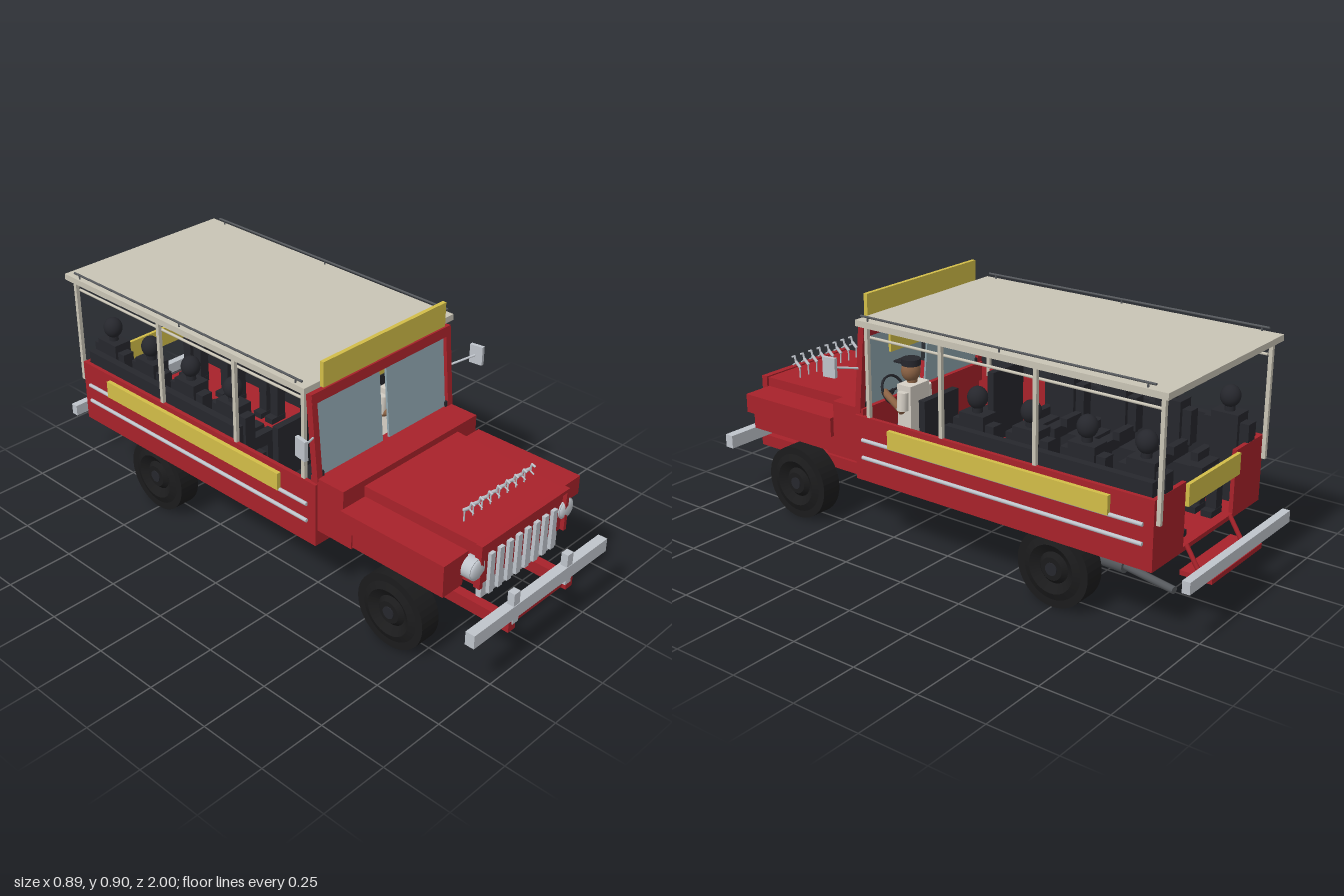
import * as THREE from 'three';

const mat = (color) => new THREE.MeshStandardMaterial({ color, side: THREE.DoubleSide });
const M = {
  red: mat(0xa8222a), cream: mat(0xc9c4b5), yellow: mat(0xd2bd48), silver: mat(0xbfc4cb), glass: mat(0x8fa6af),
  dark: mat(0x26272d), tyre: mat(0x1b1b1c), skin: mat(0x8b6244), shirt: mat(0xd6d0c6), jeans: mat(0x35506e), steel: mat(0x55585c),
};

export function createModel() {
  const root = new THREE.Group();

  const add = (name, geo, m, parent = root) => {
    const mesh = new THREE.Mesh(geo, M[m]);
    mesh.name = name;
    parent.add(mesh);
    return mesh;
  };
  // Box given by its min and max on each axis
  const box = (name, m, x0, x1, y0, y1, z0, z1, parent = root) => {
    const b = add(name, new THREE.BoxGeometry(x1 - x0, y1 - y0, z1 - z0), m, parent);
    b.position.set((x0 + x1) / 2, (y0 + y1) / 2, (z0 + z1) / 2);
    return b;
  };
  // Round bar between two points
  const bar = (name, m, a, b, r, parent = root, sides = 10) => {
    const p = new THREE.Vector3(...a), d = new THREE.Vector3(...b).sub(p);
    const c = add(name, new THREE.CylinderGeometry(r, r, d.length(), sides), m, parent);
    c.position.copy(p).addScaledVector(d, 0.5);
    c.quaternion.setFromUnitVectors(new THREE.Vector3(0, 1, 0), d.normalize());
    return c;
  };
  const ball = (name, m, x, y, z, r, parent = root) => {
    const s = add(name, new THREE.SphereGeometry(r, 18, 12), m, parent);
    s.position.set(x, y, z);
    return s;
  };
  // Box mirrored to both sides
  const pair = (name, m, x0, x1, y0, y1, z0, z1) => {
    box(name + 'Left', m, x0, x1, y0, y1, z0, z1);
    box(name + 'Right', m, -x1, -x0, y0, y1, z0, z1);
  };

  // Chassis
  pair('chassisRail', 'red', 0.135, 0.17, 0.155, 0.2, -0.78, 0.995);
  for (const z of [0.96, 0.1, -0.76]) box('crossMember', 'red', -0.14, 0.14, 0.16, 0.18, z - 0.02, z + 0.02);
  box('frontBumper', 'silver', -0.35, 0.35, 0.2, 0.25, 0.965, 1);
  pair('bumperUpright', 'silver', 0.125, 0.155, 0.18, 0.297, 0.972, 0.998);
  box('rearBumper', 'silver', -0.33, 0.33, 0.2, 0.242, -1, -0.972);
  box('rearStep', 'red', -0.165, 0.165, 0.163, 0.18, -0.985, -0.87);
  for (const s of [-1, 1]) bar('stepStrut', 'red', [s * 0.14, 0.26, -0.875], [s * 0.14, 0.172, -0.93], 0.008);
  for (const s of [-1, 1]) bar('bumperBracket', 'red', [s * 0.14, 0.19, -0.98], [s * 0.14, 0.172, -0.93], 0.008);

  // Wheels and axles
  const profile = [[0, -0.045], [0.04, -0.045], [0.055, -0.03], [0.085, -0.05], [0.11, -0.04], [0.137, -0.04],
    [0.137, 0.04], [0.11, 0.04], [0.085, 0.05], [0.055, 0.03], [0.04, 0.045], [0, 0.045]];
  for (const z of [0.647, -0.5]) {
    bar('axle', 'dark', [-0.28, 0.14, z], [0.28, 0.14, z], 0.012);
    for (const s of [-1, 1]) {
      const w = add('wheel', new THREE.LatheGeometry(profile.map((p) => new THREE.Vector2(...p)), 40).toNonIndexed(), 'tyre');
      w.geometry.computeVertexNormals();
      w.rotation.z = -Math.PI / 2;
      w.position.set(s * 0.291, 0.137, z);
      bar('hub', 'dark', [s * 0.3, 0.137, z], [s * 0.34, 0.137, z], 0.022, root, 20);
    }
  }

  // Exhaust
  bar('exhaustPipe', 'steel', [0.11, 0.15, -0.14], [0.14, 0.145, -0.5], 0.014);
  bar('muffler', 'steel', [0.17, 0.148, -0.45], [0.175, 0.143, -0.68], 0.028, root, 18);
  bar('tailPipe', 'steel', [0.175, 0.142, -0.66], [0.21, 0.13, -0.88], 0.013);

  // Open passenger tub
  box('floor', 'red', -0.345, 0.345, 0.242, 0.258, -0.875, 0.33);
  pair('sideWall', 'red', 0.33, 0.345, 0.242, 0.48, -0.875, 0.33);
  pair('rearWall', 'red', 0.16, 0.345, 0.242, 0.48, -0.875, -0.86);
  box('firewall', 'red', -0.345, 0.345, 0.242, 0.48, 0.315, 0.33);
  box('rearSign', 'yellow', -0.165, 0.165, 0.4, 0.475, -0.89, -0.877);
  pair('sideSign', 'yellow', 0.345, 0.361, 0.395, 0.46, -0.72, 0.17);
  for (const s of [-1, 1]) for (const y of [0.33, 0.395]) bar('sideTrim', 'silver', [s * 0.35, y, 0.295], [s * 0.35, y, -0.84], 0.007);

  // Hood, tapered towards the nose
  const hood = box('hood', 'red', -0.24, 0.24, 0.31, 0.482, 0.33, 0.9);
  const hp = hood.geometry.attributes.position;
  for (let i = 0; i < hp.count; i++) {
    if (hp.getZ(i) > 0) {
      hp.setX(i, hp.getX(i) * 0.9);
      if (hp.getY(i) > 0) hp.setY(i, hp.getY(i) - 0.017);
    }
  }
  hood.geometry.computeVertexNormals();
  box('cowl', 'red', -0.335, 0.335, 0.43, 0.502, 0.3, 0.443);
  // Nose frame, grille and lights
  box('noseTop', 'red', -0.226, 0.226, 0.458, 0.47, 0.89, 0.915);
  pair('noseSide', 'red', 0.212, 0.226, 0.31, 0.46, 0.89, 0.915);
  box('grilleBase', 'silver', -0.197, 0.197, 0.255, 0.31, 0.88, 0.9);
  for (let i = 0; i < 8; i++) box('grilleBar', 'silver', -0.173 + i * 0.046, -0.151 + i * 0.046, 0.265, 0.415, 0.898, 0.913);
  for (const s of [-1, 1]) {
    bar('headlight', 'silver', [s * 0.23, 0.384, 0.865], [s * 0.23, 0.384, 0.905], 0.038, root, 28);
    const lens = ball('headlightLens', 'silver', s * 0.23, 0.384, 0.905, 0.035);
    lens.scale.z = 0.35;
  }
  // Fenders
  pair('fender', 'red', 0.235, 0.35, 0.37, 0.44, 0.445, 0.87);
  pair('fenderSkirt', 'red', 0.235, 0.33, 0.305, 0.372, 0.48, 0.855);
  pair('sill', 'red', 0.22, 0.335, 0.3, 0.43, 0.33, 0.48);
  box('engineBay', 'red', -0.2, 0.2, 0.25, 0.312, 0.33, 0.6);
  box('steeringBox', 'dark', 0.215, 0.247, 0.283, 0.297, 0.6, 0.68);

  // Small rearing horse ornaments
  for (let i = 0; i < 8; i++) {
    const h = new THREE.Group();
    h.name = 'horseOrnament';
    bar('hindLegs', 'silver', [0, 0.466, 0.785], [0, 0.51, 0.785], 0.003, h, 6);
    bar('horseBody', 'silver', [0, 0.508, 0.782], [0, 0.528, 0.805], 0.006, h, 8);
    bar('horseNeck', 'silver', [0, 0.526, 0.804], [0, 0.548, 0.81], 0.004, h, 8);
    bar('horseHead', 'silver', [0, 0.548, 0.808], [0, 0.542, 0.823], 0.004, h, 8);
    bar('frontLegs', 'silver', [0, 0.522, 0.803], [0, 0.512, 0.82], 0.003, h, 6);
    h.position.x = -0.154 + i * 0.044;
    root.add(h);
  }

  // Windshield, leaning slightly back
  const shield = new THREE.Group();
  shield.name = 'windshield';
  for (const s of [-1, 1]) {
    box('pillar', 'red', s * 0.327 - 0.012, s * 0.327 + 0.012, 0, 0.31, -0.012, 0.012, shield);
    box('pane', 'glass', s * 0.162 - 0.146, s * 0.162 + 0.146, 0, 0.28, -0.004, 0.004, shield);
    box('pillarFoot', 'dark', s * 0.31 - 0.006, s * 0.31 + 0.006, 0, 0.03, -0.01, 0.01, shield);
  }
  box('headerBeam', 'red', -0.338, 0.338, 0.275, 0.311, -0.013, 0.013, shield);
  shield.position.set(0, 0.49, 0.322);
  shield.rotation.x = -0.09;
  root.add(shield);
  box('innerSign', 'yellow', -0.25, 0.25, 0.7, 0.765, 0.24, 0.25);
  for (const s of [-1, 1]) {
    bar('mirrorArm', 'silver', [s * 0.33, 0.648, 0.31], [s * 0.425, 0.668, 0.352], 0.004);
    const mirror = box('mirror', 'silver', s * 0.432 - 0.007, s * 0.432 + 0.007, 0.635, 0.705, 0.33, 0.38);
    mirror.rotation.y = s * 0.15;
  }

  // Roof on posts
  box('roof', 'cream', -0.362, 0.362, 0.808, 0.83, -0.915, 0.298);
  box('roofSign', 'yellow', -0.295, 0.295, 0.815, 0.904, 0.302, 0.317);
  for (const s of [-1, 1]) {
    for (const z of [0.27, -0.05, -0.43, -0.888]) box('roofPost', 'cream', s * 0.335 - 0.007, s * 0.335 + 0.007, z < -0.8 ? 0.4 : 0.45, 0.81, z - 0.007, z + 0.007);
    bar('handRail', 'cream', [s * 0.325, 0.765, 0.27], [s * 0.325, 0.765, -0.88], 0.005);
    bar('roofRail', 'steel', [s * 0.352, 0.845, 0.28], [s * 0.352, 0.845, -0.868], 0.004);
    for (const z of [0.25, -0.3, -0.84]) bar('roofRailFoot', 'steel', [s * 0.352, 0.828, z], [s * 0.352, 0.845, z], 0.003);
  }

  // Benches along the sides with passengers facing the aisle
  for (const s of [-1, 1]) {
    const side = new THREE.Group();
    side.name = s > 0 ? 'leftBench' : 'rightBench';
    side.scale.x = s;
    box('benchSeat', 'dark', 0.19, 0.328, 0.33, 0.37, -0.855, -0.06, side);
    box('benchBase', 'dark', 0.24, 0.328, 0.258, 0.33, -0.855, -0.06, side);
    box('benchBack', 'dark', 0.3, 0.328, 0.37, 0.525, -0.855, -0.055, side);
    for (const z of [-0.143, -0.36, -0.575, -0.79]) {
      const p = new THREE.Group();
      p.name = 'passenger';
      box('torso', 'dark', 0.225, 0.295, 0.37, 0.572, -0.05, 0.05, p);
      ball('head', 'dark', 0.26, 0.622, 0, 0.035, p).scale.y = 1.1;
      bar('neck', 'dark', [0.26, 0.565, 0], [0.26, 0.6, 0], 0.018, p);
      for (const k of [-1, 1]) {
        box('upperArm', 'dark', 0.24, 0.285, 0.42, 0.543, k * 0.066 - 0.018, k * 0.066 + 0.018, p);
        box('forearm', 'dark', 0.15, 0.27, 0.41, 0.44, k * 0.062 - 0.014, k * 0.062 + 0.014, p);
        box('thigh', 'dark', 0.11, 0.27, 0.368, 0.41, k * 0.03 - 0.021, k * 0.03 + 0.021, p);
        box('shin', 'dark', 0.11, 0.15, 0.27, 0.39, k * 0.03 - 0.019, k * 0.03 + 0.019, p);
        box('shoe', 'dark', 0.08, 0.15, 0.258, 0.28, k * 0.03 - 0.02, k * 0.03 + 0.02, p);
      }
      p.position.z = z;
      side.add(p);
    }
    // Front seats
    box('frontSeat', 'dark', 0.1, 0.28, 0.3, 0.36, 0.08, 0.23, side);
    box('frontSeatBack', 'dark', 0.1, 0.28, 0.3, 0.565, 0.068, 0.094, side);
    root.add(side);
  }

  // Driver with cap and steering wheel
  const driver = new THREE.Group();
  driver.name = 'driver';
  box('driverTorso', 'shirt', 0.14, 0.24, 0.36, 0.585, 0.165, 0.225, driver);
  bar('driverNeck', 'skin', [0.19, 0.57, 0.2], [0.19, 0.61, 0.2], 0.018, driver);
  ball('driverHead', 'skin', 0.19, 0.625, 0.205, 0.034, driver).scale.y = 1.15;
  bar('cap', 'dark', [0.19, 0.647, 0.203], [0.19, 0.67, 0.203], 0.034, driver, 18);
  box('capVisor', 'dark', 0.165, 0.215, 0.65, 0.656, 0.23, 0.262, driver);
  for (const k of [-1, 1]) {
    bar('sleeve', 'shirt', [0.19 + k * 0.06, 0.565, 0.19], [0.19 + k * 0.065, 0.5, 0.19], 0.02, driver);
    bar('driverForearm', 'skin', [0.19 + k * 0.065, 0.495, 0.19], [0.19 + k * 0.04, 0.54, 0.295], 0.013, driver);
    bar('driverThigh', 'jeans', [0.19 + k * 0.03, 0.38, 0.18], [0.19 + k * 0.035, 0.385, 0.29], 0.025, driver);
    bar('driverShin', 'jeans', [0.19 + k * 0.035, 0.385, 0.285], [0.19 + k * 0.035, 0.265, 0.295], 0.02, driver);
  }
  root.add(driver);
  const wheel = add('steeringWheel', new THREE.TorusGeometry(0.052, 0.005, 8, 28), 'dark');
  wheel.position.set(0.19, 0.537, 0.288);
  wheel.rotation.x = 0.45;
  bar('steeringColumn', 'dark', [0.19, 0.537, 0.288], [0.19, 0.47, 0.33], 0.007);
  bar('steeringSpoke', 'dark', [0.14, 0.537, 0.288], [0.24, 0.537, 0.288], 0.004);
  return root;
}
